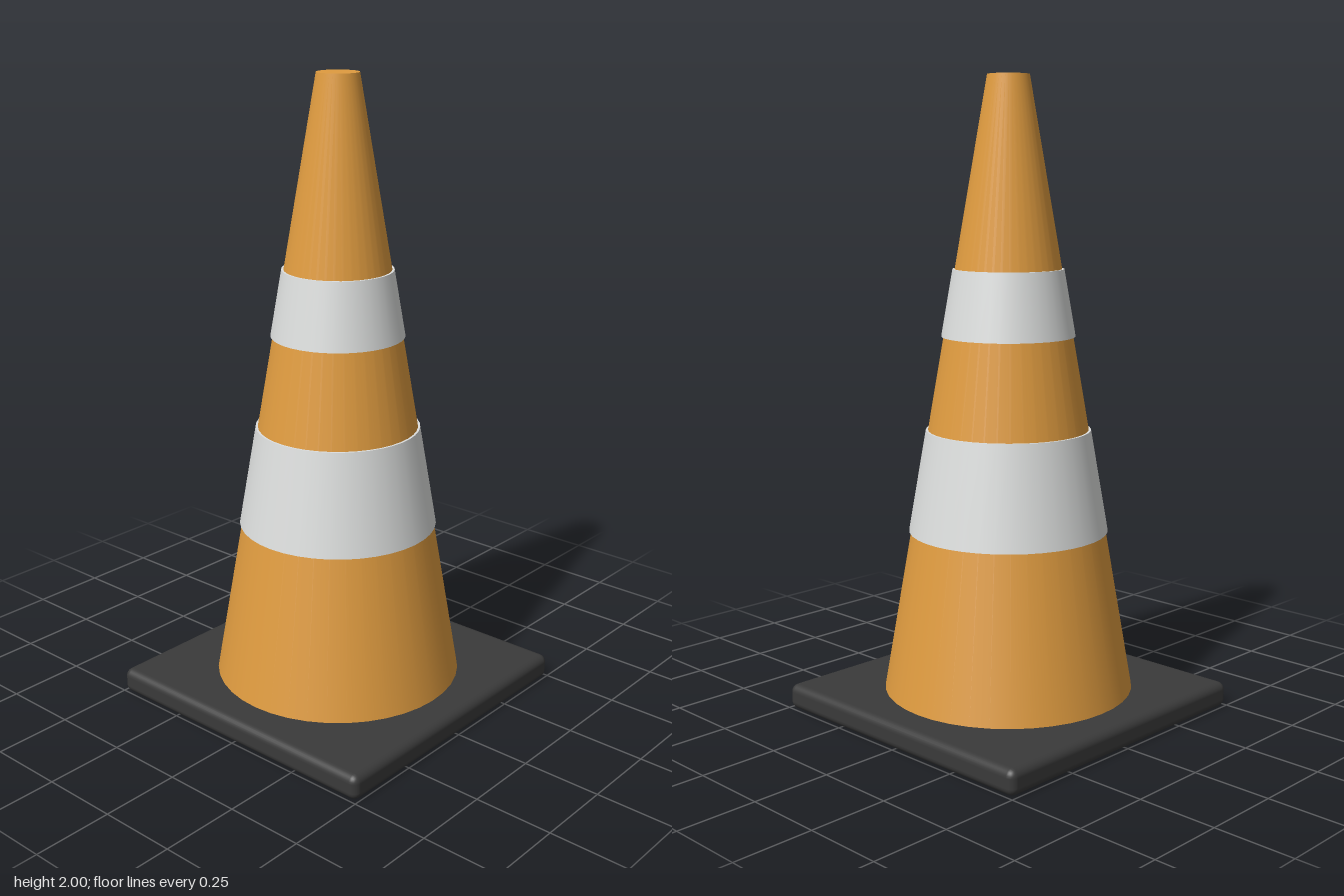
import * as THREE from 'three';
import { RoundedBoxGeometry } from 'three/addons/geometries/RoundedBoxGeometry.js';

const BASE_TOP = 0.08, TOP = 2, R_BOTTOM = 0.395, R_TOP = 0.065, SIDES = 40;

// Radius of the cone body at a given height
const radiusAt = (y) =>
  THREE.MathUtils.mapLinear(y, BASE_TOP, TOP, R_BOTTOM, R_TOP);

function material(name, color) {
  const m = new THREE.MeshStandardMaterial({ color });
  m.name = name;
  return m;
}

// Slice of the cone between two heights, optionally standing proud of it
function coneSection(name, y0, y1, proud, mat) {
  const geometry = new THREE.CylinderGeometry(
    radiusAt(y1) + proud, radiusAt(y0) + proud, y1 - y0, SIDES);
  const mesh = new THREE.Mesh(geometry, mat);
  mesh.name = name;
  mesh.position.y = (y0 + y1) / 2;
  return mesh;
}

export function createModel() {
  const orange = material('orange', 0xe09c40);
  const white = material('white', 0xdddfde);
  const black = material('black', 0x3a3a3a);
  const model = new THREE.Group();
  model.name = 'trafficCone';

  // Square foot with softened edges
  const base = new THREE.Mesh(new RoundedBoxGeometry(1, BASE_TOP, 1, 3, 0.025), black);
  base.name = 'base';
  base.position.y = BASE_TOP / 2;
  model.add(base);

  // Tapered body and its two raised sleeves
  model.add(
    coneSection('coneBody', BASE_TOP, TOP, 0, orange),
    coneSection('lowerBand', 0.59, 0.912, 0.007, white),
    coneSection('upperBand', 1.205, 1.413, 0.007, white),
  );
  return model;
}
